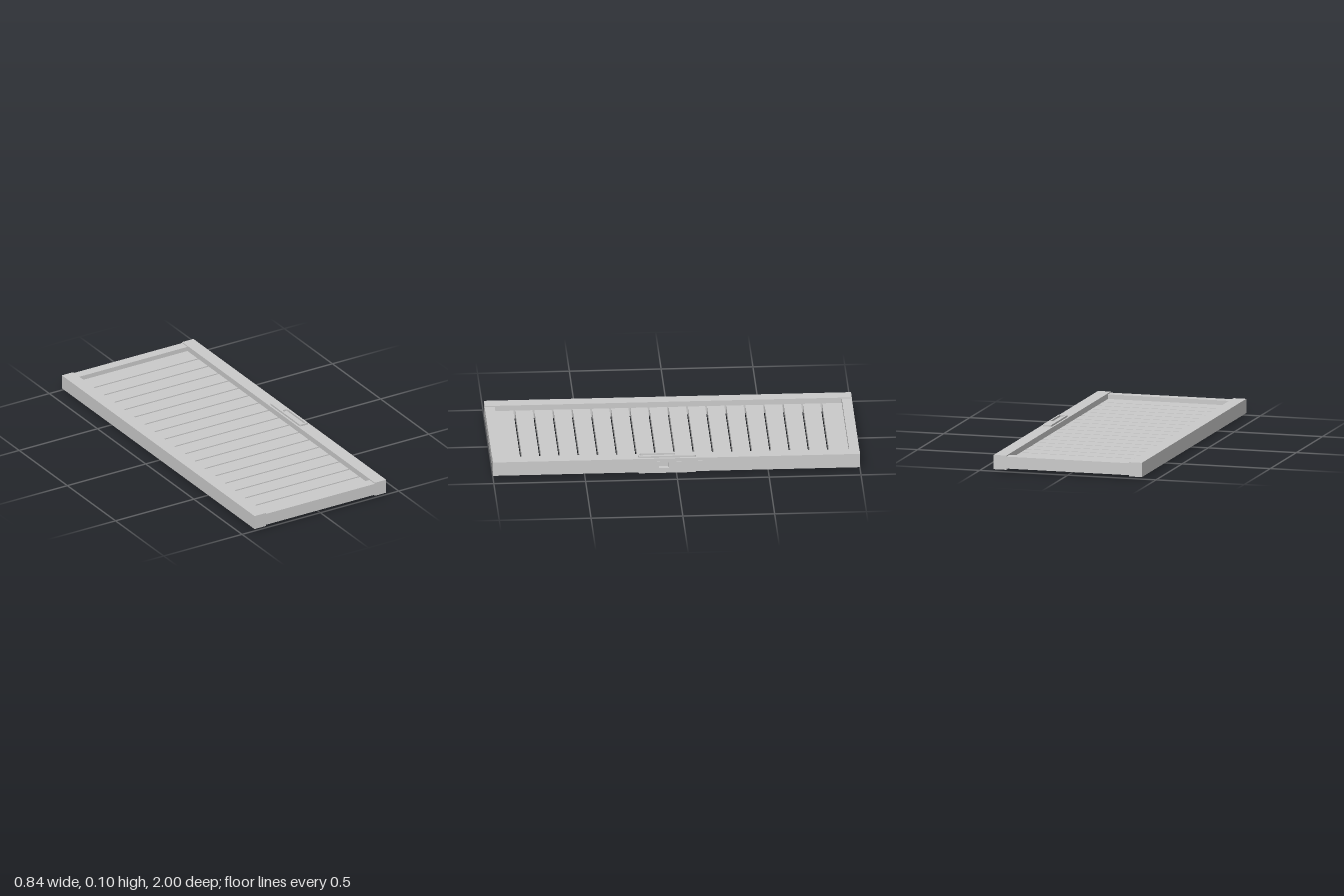
import * as THREE from 'three';

const material = new THREE.MeshStandardMaterial({ color: 0xcccccc });

function add(group, name, geometry) {
  const mesh = new THREE.Mesh(geometry, material);
  mesh.name = name;
  group.add(mesh);
  return mesh;
}

function box(group, name, x0, x1, y0, y1, z0, z1) {
  const mesh = add(group, name, new THREE.BoxGeometry(x1 - x0, y1 - y0, z1 - z0));
  mesh.position.set((x0 + x1) / 2, (y0 + y1) / 2, (z0 + z1) / 2);
  return mesh;
}

// Rounded rectangle traced into a Shape or Path
function roundRect(path, x0, x1, y0, y1, r) {
  path.moveTo(x0 + r, y0);
  path.lineTo(x1 - r, y0);
  path.absarc(x1 - r, y0 + r, r, -Math.PI / 2, 0);
  path.lineTo(x1, y1 - r);
  path.absarc(x1 - r, y1 - r, r, 0, Math.PI / 2);
  path.lineTo(x0 + r, y1);
  path.absarc(x0 + r, y1 - r, r, Math.PI / 2, Math.PI);
  path.lineTo(x0, y0 + r);
  path.absarc(x0 + r, y0 + r, r, Math.PI, Math.PI * 1.5);
  return path;
}

function polygon(points) {
  return new THREE.Shape(points.map(([x, y]) => new THREE.Vector2(x, y)));
}

// Extrude a plan drawn in (x, -z) upward from y0 to y1
function slab(shape, y0, y1) {
  const g = new THREE.ExtrudeGeometry(shape, {
    depth: y1 - y0, curveSegments: 5, bevelEnabled: false,
  });
  g.rotateX(-Math.PI / 2);
  g.translate(0, y0, 0);
  return g;
}

export function createModel() {
  const model = new THREE.Group();
  model.name = 'louvredDoor';
  const inner = 0.348;

  // Frame: plain stile, two end rails
  box(model, 'hingeStile', -0.42, -inner, 0.011, 0.09, -1, 1);
  for (const s of [-1, 1]) {
    const rail = box(model, 'endRail', -inner, inner, 0.018, 0.084, 0.945, 1);
    rail.position.z *= s;
  }

  // Lock stile in three layers, the middle one notched for the latch
  const lockStile = new THREE.Group();
  lockStile.name = 'lockStile';
  model.add(lockStile);
  const notched = polygon([[inner, -1], [0.42, -1], [0.42, -0.095], [0.395, -0.095],
    [0.395, -0.042], [0.42, -0.042], [0.42, 1], [inner, 1]]);
  box(lockStile, 'lowerLayer', inner, 0.42, 0.011, 0.035, -1, 1);
  add(lockStile, 'middleLayer', slab(notched, 0.035, 0.066));
  box(lockStile, 'upperLayer', inner, 0.42, 0.066, 0.09, -1, 1);

  // Slats: undersides level with the end rails, tops set below the frame
  const pitch = 0.1045, gap = 0.01;
  const cuts = [-0.945 - gap / 2];
  for (let i = -8; i <= 8; i++) cuts.push(0.003 + i * pitch);
  cuts.push(0.945 + gap / 2);
  for (let i = 0; i < cuts.length - 1; i++) {
    box(model, 'slat', -inner, inner, 0.0185, 0.059, cuts[i] + gap / 2, cuts[i + 1] - gap / 2);
  }

  // Pull plates on both faces, each with a long finger recess
  const plate = roundRect(new THREE.Shape(), 0.358, 0.408, -0.207, 0.107, 0.008);
  plate.holes.push(roundRect(new THREE.Path(), 0.369, 0.398, -0.198, -0.006, 0.006));
  add(model, 'topPullPlate', slab(plate, 0.09, 0.1));
  add(model, 'bottomPullPlate', slab(plate, 0, 0.011));

  // Edge plate framing the latch opening
  const edge = polygon([[-0.107, 0.029], [0.185, 0.029], [0.185, 0.072], [-0.107, 0.072]]);
  edge.holes.push(polygon([[-0.095, 0.035], [-0.042, 0.035], [-0.042, 0.066], [-0.095, 0.066]]));
  const edgeGeometry = new THREE.ExtrudeGeometry(edge, { depth: 0.0025, bevelEnabled: false });
  edgeGeometry.rotateY(Math.PI / 2);
  edgeGeometry.translate(0.419, 0, 0);
  add(model, 'edgePlate', edgeGeometry);

  return model;
}
